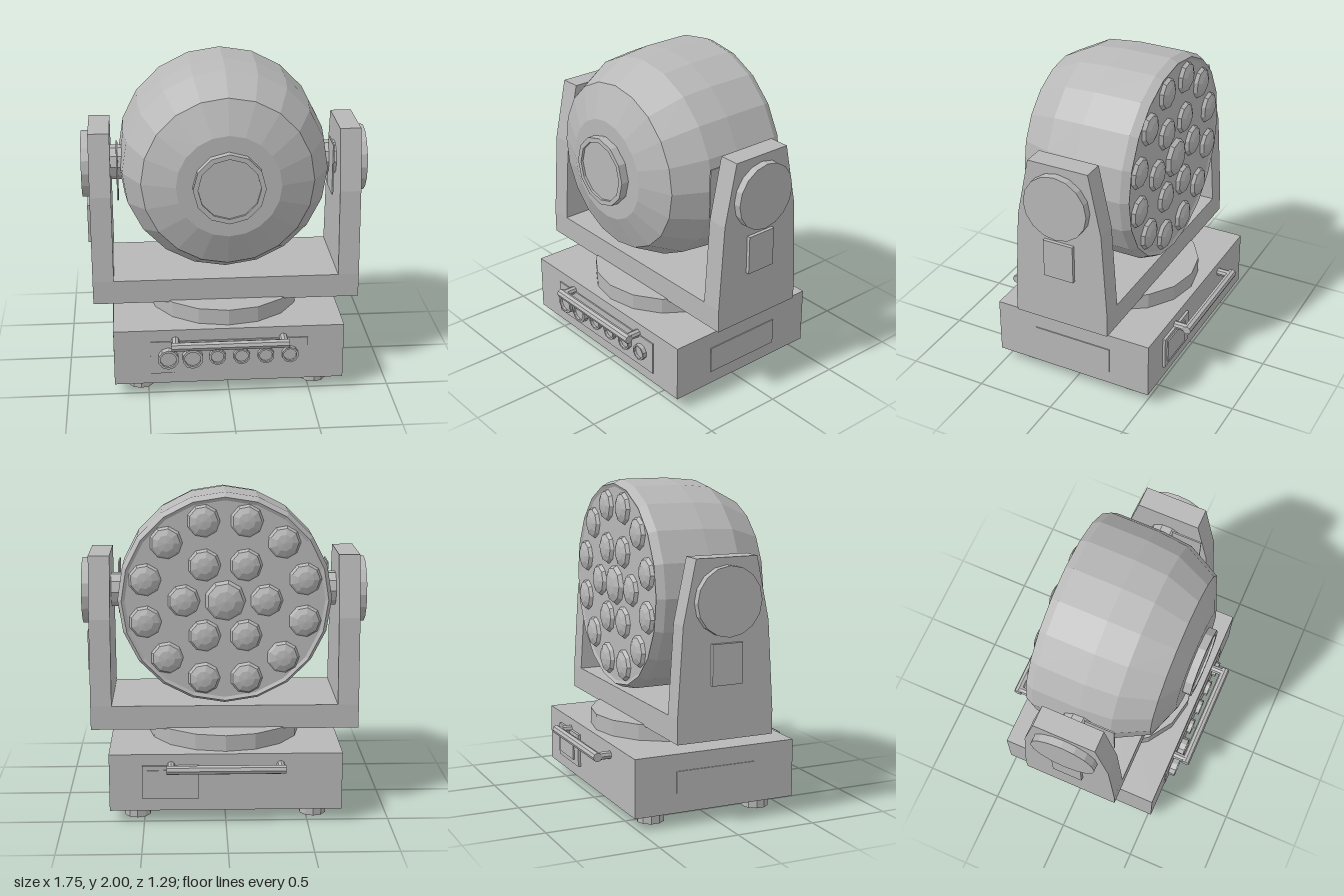
import * as THREE from 'three';

export function createModel() {
  const model = new THREE.Group();
  model.name = 'movingHeadLight';
  const grey = new THREE.MeshStandardMaterial({ color: 0xb8b8b8, flatShading: true });
  grey.name = 'grey';

  const add = (name, geometry, x = 0, y = 0, z = 0, parent = model) => {
    const mesh = new THREE.Mesh(geometry, grey);
    mesh.name = name;
    mesh.position.set(x, y, z);
    parent.add(mesh);
    return mesh;
  };
  const box = (name, x0, x1, y0, y1, z0, z1) =>
    add(name, new THREE.BoxGeometry(x1 - x0, y1 - y0, z1 - z0), (x0 + x1) / 2, (y0 + y1) / 2, (z0 + z1) / 2);
  const cylX = (r, h, n) => new THREE.CylinderGeometry(r, r, h, n).rotateZ(Math.PI / 2);
  const cylZ = (r, h, n) => new THREE.CylinderGeometry(r, r, h, n).rotateX(Math.PI / 2);
  // Profile of [radius, z] pairs turned about the z axis
  const latheZ = (points, n) =>
    new THREE.LatheGeometry(points.map(([r, z]) => new THREE.Vector2(r, z)), n).rotateX(Math.PI / 2);

  // Base, feet and turntable
  box('base', -0.71, 0.71, 0.08, 0.44, -0.525, 0.525);
  for (const x of [-0.545, 0.545])
    for (const z of [-0.355, 0.355])
      add('foot', new THREE.CylinderGeometry(0.083, 0.083, 0.08, 10), x, 0.04, z);
  add('turntable', new THREE.CylinderGeometry(0.48, 0.48, 0.1, 16), 0, 0.49, 0);

  // Front connector panel
  box('connectorPanel', -0.485, 0.485, 0.15, 0.365, 0.52, 0.533);
  [-0.378, -0.228, -0.075, 0.075, 0.225, 0.375].forEach((x, i) => {
    const r = i < 2 ? 0.064 : 0.052;
    const z = i < 2 ? 0.575 : 0.56;
    add('connector', latheZ([[r, 0.53], [r, z], [r * 0.78, z], [r * 0.78, z - 0.015], [0, z - 0.015]], 10), x, 0.26, 0);
  });

  // Rear power panel
  box('powerPanel', 0.165, 0.51, 0.16, 0.37, -0.542, -0.52);
  box('powerPanelInset', 0.235, 0.48, 0.19, 0.345, -0.55, -0.53);

  // Carrying handles, front and back
  for (const s of [-1, 1]) {
    add('handleBar', cylX(0.028, 0.72, 8), 0, 0.37, s * 0.615);
    for (const x of [-0.333, 0.333]) add('handlePost', cylZ(0.025, 0.1, 8), x, 0.37, s * 0.565);
  }

  // Yoke: crossbar and two tapered arms
  box('yokeCrossbar', -0.705, 0.705, 0.53, 0.68, -0.31, 0.31);
  const armShape = new THREE.Shape([
    [-0.31, 0.53], [0.31, 0.53], [0.31, 0.68], [0.275, 1.22], [0.195, 1.6], [-0.195, 1.6], [-0.275, 1.22], [-0.31, 0.68],
  ].map(([z, y]) => new THREE.Vector2(z, y)));
  const armGeometry = new THREE.ExtrudeGeometry(armShape, { depth: 0.13, bevelEnabled: false })
    .translate(0, 0, -0.065).rotateY(Math.PI / 2);

  for (const s of [-1, 1]) {
    add('yokeArm', armGeometry, s * 0.765, 0, 0);
    add('pivotCap', cylX(0.207, 0.05, 16), s * 0.852, 1.35, 0);
    add('armPlate', new THREE.BoxGeometry(0.024, 0.245, 0.195), s * 0.84, 0.982, 0);
    add('axle', cylX(0.107, 0.12, 10), s * 0.66, 1.355, 0);
    add('sensorPlate', new THREE.BoxGeometry(0.009, 0.32, 0.19), s * 0.658, 1.35, 0.145);
    add('baseSidePlate', new THREE.BoxGeometry(0.012, 0.17, 0.52), s * 0.71, 0.25, 0);
  }

  // Lamp head
  const head = new THREE.Group();
  head.name = 'head';
  head.position.y = 1.35;
  model.add(head);
  add('headShell', latheZ([
    [0, -0.34], [0.605, -0.34], [0.625, -0.35], [0.65, -0.3], [0.65, 0], [0.63, 0.2], [0.52, 0.41], [0.315, 0.49], [0, 0.49],
  ], 20), 0, 0, 0, head);
  add('rearCap', latheZ([[0.217, 0.48], [0.217, 0.54], [0.187, 0.54], [0.187, 0.525], [0, 0.525]], 12), 0, 0, 0, head);

  // Lenses: one in the middle, rings of six and twelve
  const lens = (r, height, x, y) => {
    const dome = new THREE.SphereGeometry(r, 9, 3, 0, Math.PI * 2, 0, Math.PI / 2);
    add('lens', dome.scale(1, height / r, 1).rotateX(-Math.PI / 2), x, y, -0.34, head);
  };
  lens(0.125, 0.05, 0, 0);
  for (const [count, radius, offset] of [[6, 0.25, 0], [12, 0.5, Math.PI / 12]]) {
    for (let i = 0; i < count; i++) {
      const a = offset + (i / count) * Math.PI * 2;
      lens(0.1, 0.042, Math.cos(a) * radius, Math.sin(a) * radius);
    }
  }
  return model;
}
